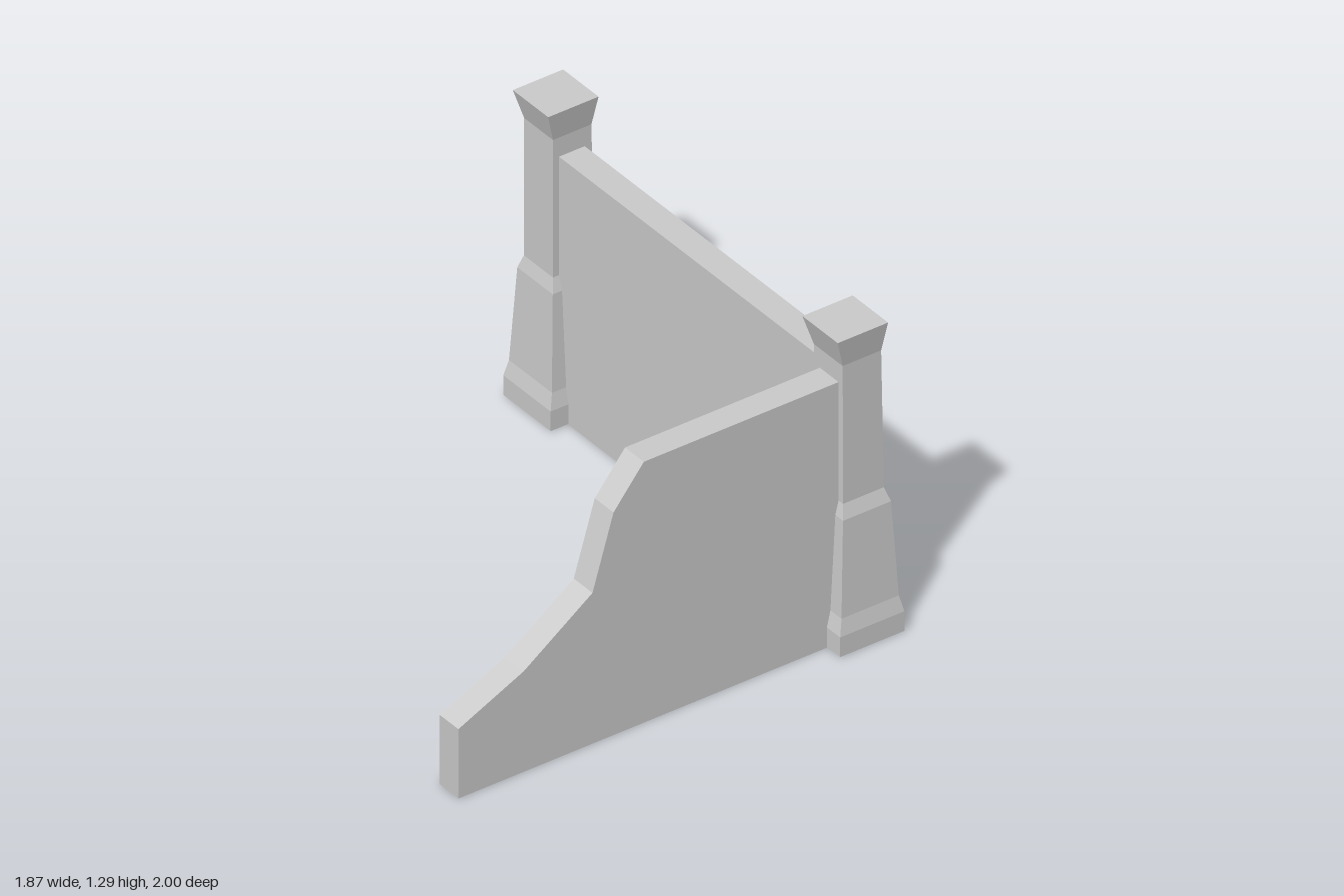
import * as THREE from 'three';

const stone = new THREE.MeshStandardMaterial({ color: 0xcccccc });
stone.name = 'lightGreyStone';

// Lofts stacked rectangles [y, x0, x1, z0, z1] into a closed, flat-faced solid
function loftRects(rects) {
  const rings = rects.map(([y, x0, x1, z0, z1]) => [
    [x0, y, z1], [x1, y, z1], [x1, y, z0], [x0, y, z0],
  ]);
  const pos = [];
  const quad = (a, b, c, d) => pos.push(...a, ...b, ...c, ...a, ...c, ...d);
  for (let i = 0; i < rings.length - 1; i++) {
    const lo = rings[i], hi = rings[i + 1];
    for (let k = 0; k < 4; k++) {
      const n = (k + 1) % 4;
      quad(lo[k], lo[n], hi[n], hi[k]);
    }
  }
  const bottom = rings[0], top = rings[rings.length - 1];
  quad(...top);
  quad(bottom[3], bottom[2], bottom[1], bottom[0]);
  const geo = new THREE.BufferGeometry();
  geo.setAttribute('position', new THREE.Float32BufferAttribute(pos, 3));
  geo.computeVertexNormals();
  return geo;
}

// Post cross-sections: plinth, tapered lower shaft, upper shaft, flared cap
const POST = [
  [0.003, 0.645, 0.92, 0.72, 0.998],
  [0.085, 0.645, 0.92, 0.72, 0.998],
  [0.15, 0.66, 0.906, 0.733, 0.985],
  [0.54, 0.681, 0.887, 0.757, 0.965],
  [0.595, 0.695, 0.87, 0.775, 0.946],
  [1.17, 0.695, 0.86, 0.775, 0.944],
  [1.29, 0.66, 0.876, 0.755, 0.963],
];

export function createModel() {
  const group = new THREE.Group();
  group.name = 'cornerWall';
  const add = (name, geo) => {
    const mesh = new THREE.Mesh(geo, stone);
    mesh.name = name;
    group.add(mesh);
    return mesh;
  };

  // Corner post, and its mirrored twin at the far end
  add('frontPost', loftRects(POST));
  add('backPost', loftRects(POST.map(([y, x0, x1, z0, z1]) =>
    [y, x0 + 0.014, x1 + 0.014, -z1, -z0])));

  // Straight wall between the posts
  add('sideWall', loftRects([
    [0, 0.735, 0.845, -0.865, 0.92],
    [1.09, 0.735, 0.845, -0.865, 0.92],
  ]));

  // Broken wall, stepping down away from the corner
  const outline = [
    [-0.935, 0], [0.735, 0], [0.735, 1.09], [-0.14, 1.09],
    [-0.27, 0.93], [-0.36, 0.63], [-0.655, 0.42], [-0.935, 0.29],
  ].map(([x, y]) => new THREE.Vector2(x, y));
  const wall = new THREE.ExtrudeGeometry(new THREE.Shape(outline), { depth: 0.11, bevelEnabled: false });
  add('brokenFrontWall', wall).position.z = 0.81;

  return group;
}
